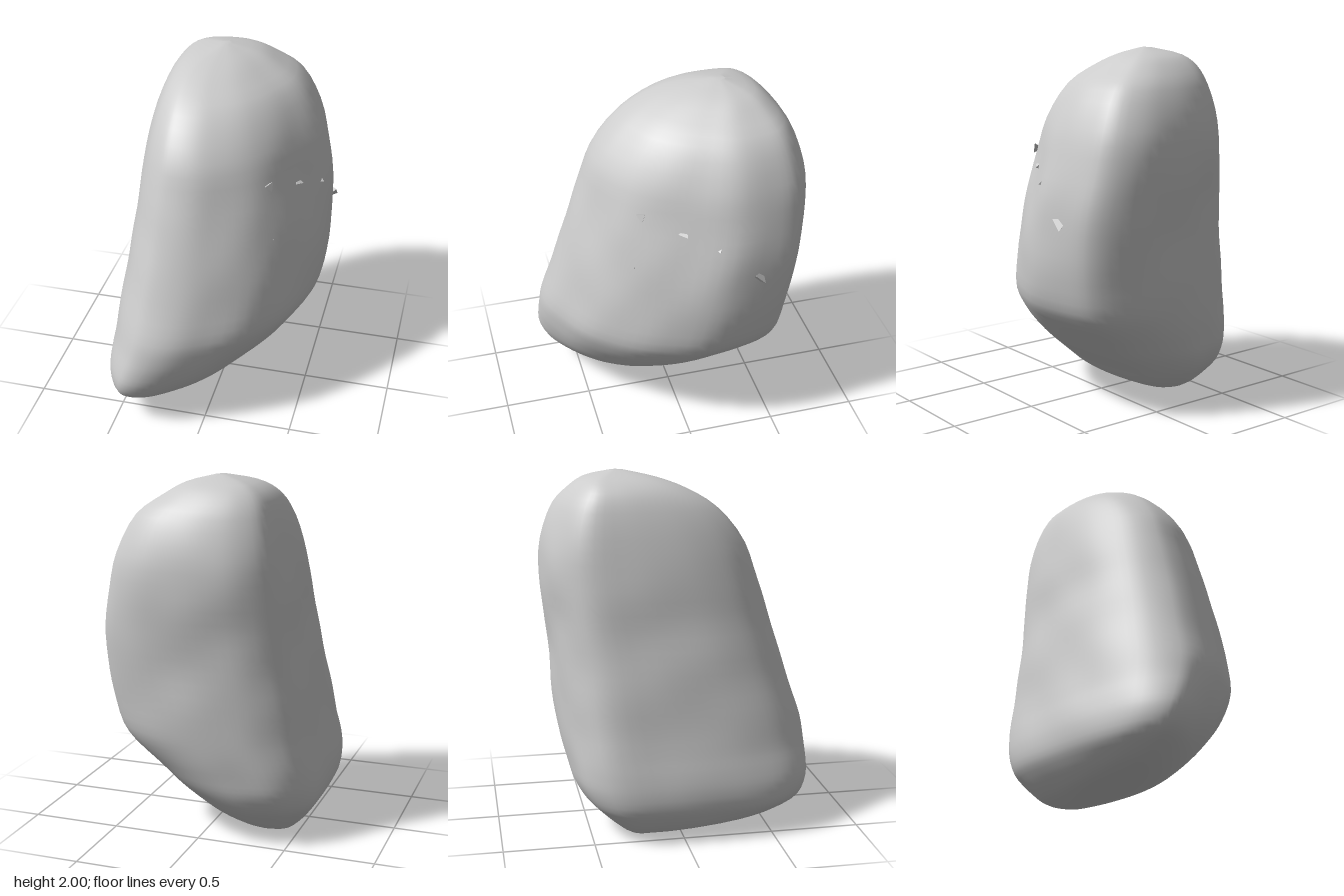
import * as THREE from 'three';

// Height slices of the boulder: [y, xMin, xMax, zMin, zMax, share of the low outline]
const SLICES = [
  [0, -0.38, -0.33, -0.2, -0.12, 1],
  [0.03, -0.46, -0.2, -0.31, 0.08, 1],
  [0.08, -0.52, -0.06, -0.39, 0.42, 1],
  [0.13, -0.56, 0.02, -0.45, 0.56, 1],
  [0.2, -0.6, 0.1, -0.52, 0.67, 1],
  [0.3, -0.61, 0.22, -0.58, 0.72, 1],
  [0.4, -0.6, 0.33, -0.61, 0.73, 0.9],
  [0.5, -0.58, 0.43, -0.635, 0.725, 0.75],
  [0.62, -0.56, 0.52, -0.655, 0.71, 0.55],
  [0.8, -0.54, 0.56, -0.67, 0.655, 0.35],
  [1.0, -0.51, 0.57, -0.68, 0.595, 0.15],
  [1.2, -0.48, 0.56, -0.7, 0.53, 0],
  [1.4, -0.46, 0.52, -0.72, 0.47, 0],
  [1.6, -0.43, 0.47, -0.71, 0.4, 0],
  [1.8, -0.38, 0.36, -0.64, 0.24, 0],
  [1.9, -0.33, 0.22, -0.56, 0.08, 0],
  [1.96, -0.25, 0.11, -0.48, -0.08, 0],
  [2.0, -0.1, -0.04, -0.33, -0.26, 0],
];

// Plan outlines (x, z): flat on the -x side, tapering to a blunt nose at the front
const UPPER = [
  [0.05, -0.73], [0.3, -0.7], [0.49, -0.58], [0.55, -0.4], [0.57, -0.14],
  [0.46, 0.13], [0.34, 0.36], [0.2, 0.53], [0, 0.66], [-0.14, 0.72],
  [-0.28, 0.73], [-0.38, 0.7], [-0.5, 0.56], [-0.57, 0.35], [-0.6, 0.1],
  [-0.6, -0.2], [-0.56, -0.47], [-0.41, -0.62], [-0.2, -0.7],
];
const LOWER = [
  [0, -0.73], [0.24, -0.68], [0.45, -0.56], [0.53, -0.38], [0.57, -0.1],
  [0.54, 0.14], [0.41, 0.35], [0.25, 0.51], [0.04, 0.64], [-0.13, 0.71],
  [-0.28, 0.73], [-0.38, 0.7], [-0.5, 0.56], [-0.57, 0.35], [-0.6, 0.1],
  [-0.6, -0.2], [-0.58, -0.5], [-0.42, -0.65], [-0.2, -0.71],
];

// Outline as a closed curve scaled to run from -1 to 1 both ways
const planCurve = (outline) => new THREE.CatmullRomCurve3(
  outline.map(([x, z]) => new THREE.Vector3((x + 0.015) / 0.585, 0, z / 0.73)), true);

// Gentle lumps
const lump = (x, y, z) => 0.6 * Math.sin(7 * x + 6 * y + 1) * Math.sin(8 * z - 3 * y)
  + 0.4 * Math.sin(14 * y + 5 * z) * Math.cos(12 * x - 9 * z);

function boulderGeometry() {
  const around = 76, up = 3 * (SLICES.length - 1);
  const upper = planCurve(UPPER), lower = planCurve(LOWER);
  const positions = [], index = [];
  for (let i = 0; i < around; i++) {
    const a = upper.getPoint(i / around), b = lower.getPoint(i / around);
    const meridian = new THREE.CatmullRomCurve3(SLICES.map(([y, x0, x1, z0, z1, low]) => {
      const p = a.clone().lerp(b, low);
      return new THREE.Vector3((x0 + x1) / 2 + p.x * (x1 - x0) / 2, y, (z0 + z1) / 2 + p.z * (z1 - z0) / 2);
    }));
    const out = a.clone().normalize();
    for (let j = 0; j <= up; j++) {
      const q = meridian.getPoint(j / up);
      q.addScaledVector(out, 0.008 * lump(q.x, q.y, q.z) * Math.sin(Math.PI * j / up));
      positions.push(q.x, THREE.MathUtils.clamp(q.y, 0, 2), q.z);
    }
  }
  // Side faces
  const at = (i, j) => (i % around) * (up + 1) + j;
  for (let i = 0; i < around; i++) {
    for (let j = 0; j < up; j++) {
      const a = at(i, j), b = at(i + 1, j), c = at(i + 1, j + 1), d = at(i, j + 1);
      index.push(a, c, b, a, d, c);
    }
  }
  // Small closing fans at the bottom and top
  for (let i = 1; i < around - 1; i++) {
    index.push(at(0, 0), at(i, 0), at(i + 1, 0));
    index.push(at(0, up), at(i + 1, up), at(i, up));
  }
  const g = new THREE.BufferGeometry();
  g.setAttribute('position', new THREE.Float32BufferAttribute(positions, 3));
  g.setIndex(index);
  g.computeVertexNormals();
  return g;
}

export function createModel() {
  const model = new THREE.Group();
  model.name = 'boulder';
  const stone = new THREE.MeshStandardMaterial({ color: 0xcccccc });
  stone.name = 'grey stone';

  const body = new THREE.Mesh(boulderGeometry(), stone);
  body.name = 'rockBody';
  model.add(body);

  // Little sharp chips standing off the surface: [x, y, z, size]
  const chips = [
    [0.55, 1.11, -0.36, 0.05], [-0.48, 0.21, 0.54, 0.05],
    [0.29, 1.43, 0.22, 0.035], [0.31, 1.12, 0.27, 0.035],
    [0.41, 1.36, 0.02, 0.035], [0.5, 1.3, -0.15, 0.035],
  ];
  chips.forEach(([x, y, z, s], i) => {
    const chip = new THREE.Mesh(new THREE.TetrahedronGeometry(s), stone);
    chip.name = 'chip' + (i + 1);
    chip.position.set(x, y, z);
    chip.rotation.set(i * 1.3, i * 0.7, i * 2.1);
    model.add(chip);
  });
  return model;
}
